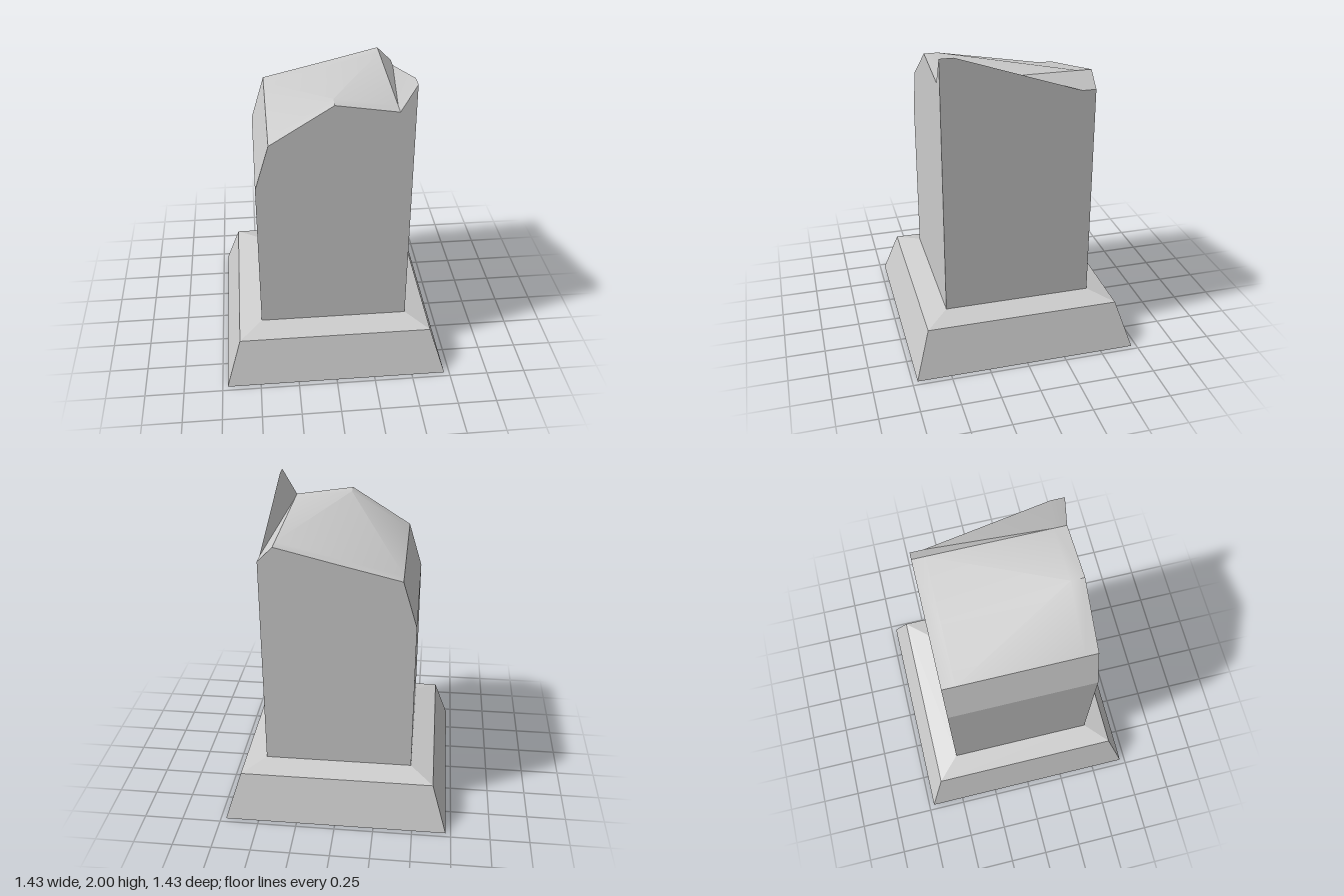
import * as THREE from 'three';
import { toCreasedNormals } from 'three/addons/utils/BufferGeometryUtils.js';

const material = new THREE.MeshStandardMaterial({ color: 0xcccccc, side: THREE.DoubleSide });

const H = 0.475; // half width of the shaft
const SHAFT_BASE = 0.34;

// Broken top: heights across x for the front rows and the back rows
const xs = [-H, -0.387, 0, 0.38, H];
const zs = [H, 0.39, -0.39, -H];
const frontY = [1.35, 1.645, 1.89, 1.83, 2.0];
const backY = [1.35, 1.645, 1.737, 1.83, 1.735];
const topPoint = (i, j) => [xs[i], (j < 2 ? frontY : backY)[i], zs[j]];

// Quad a-b-c-d, counter-clockwise from outside, split along a-c
function quad(out, a, b, c, d) {
  out.push(...a, ...b, ...c, ...a, ...c, ...d);
}

function makeMesh(name, positions, crease) {
  const geometry = new THREE.BufferGeometry();
  geometry.setAttribute('position', new THREE.Float32BufferAttribute(positions, 3));
  const mesh = new THREE.Mesh(toCreasedNormals(geometry, crease), material);
  mesh.name = name;
  return mesh;
}

// Sloped square plinth, open underneath
function makePlinth() {
  const rings = [[0.717, 0], [0.622, 0.3], [H, SHAFT_BASE]];
  const corners = [[-1, 1], [1, 1], [1, -1], [-1, -1]];
  const corner = (r, k) => [corners[k % 4][0] * rings[r][0], rings[r][1], corners[k % 4][1] * rings[r][0]];
  const out = [];
  for (let r = 0; r < rings.length - 1; r++) {
    for (let k = 0; k < 4; k++) {
      quad(out, corner(r, k), corner(r, k + 1), corner(r + 1, k + 1), corner(r + 1, k));
    }
  }
  return makeMesh('plinth', out, 0.3);
}

// Four shaft walls, cut off along the rim of the broken top
function makeShaft() {
  const rim = [];
  for (let i = 0; i < 4; i++) rim.push(topPoint(i, 0));
  for (let j = 0; j < 3; j++) rim.push(topPoint(4, j));
  for (let i = 4; i > 0; i--) rim.push(topPoint(i, 3));
  for (let j = 3; j > 0; j--) rim.push(topPoint(0, j));
  const out = [];
  rim.forEach((a, k) => {
    const b = rim[(k + 1) % rim.length];
    quad(out, [a[0], SHAFT_BASE, a[2]], [b[0], SHAFT_BASE, b[2]], b, a);
  });
  return makeMesh('shaft', out, 0.3);
}

// Faceted broken surface closing the shaft
function makeBrokenTop() {
  const out = [];
  for (let j = 0; j < 3; j++) {
    for (let i = 0; i < 4; i++) {
      const a = topPoint(i, j), b = topPoint(i + 1, j);
      const c = topPoint(i + 1, j + 1), d = topPoint(i, j + 1);
      // left of the ridge the fold runs the other way
      if (i < 2) quad(out, b, c, d, a);
      else quad(out, a, b, c, d);
    }
  }
  return makeMesh('brokenTop', out, 0.6);
}

export function createModel() {
  const group = new THREE.Group();
  group.name = 'brokenPillar';
  group.add(makePlinth(), makeShaft(), makeBrokenTop());
  return group;
}
